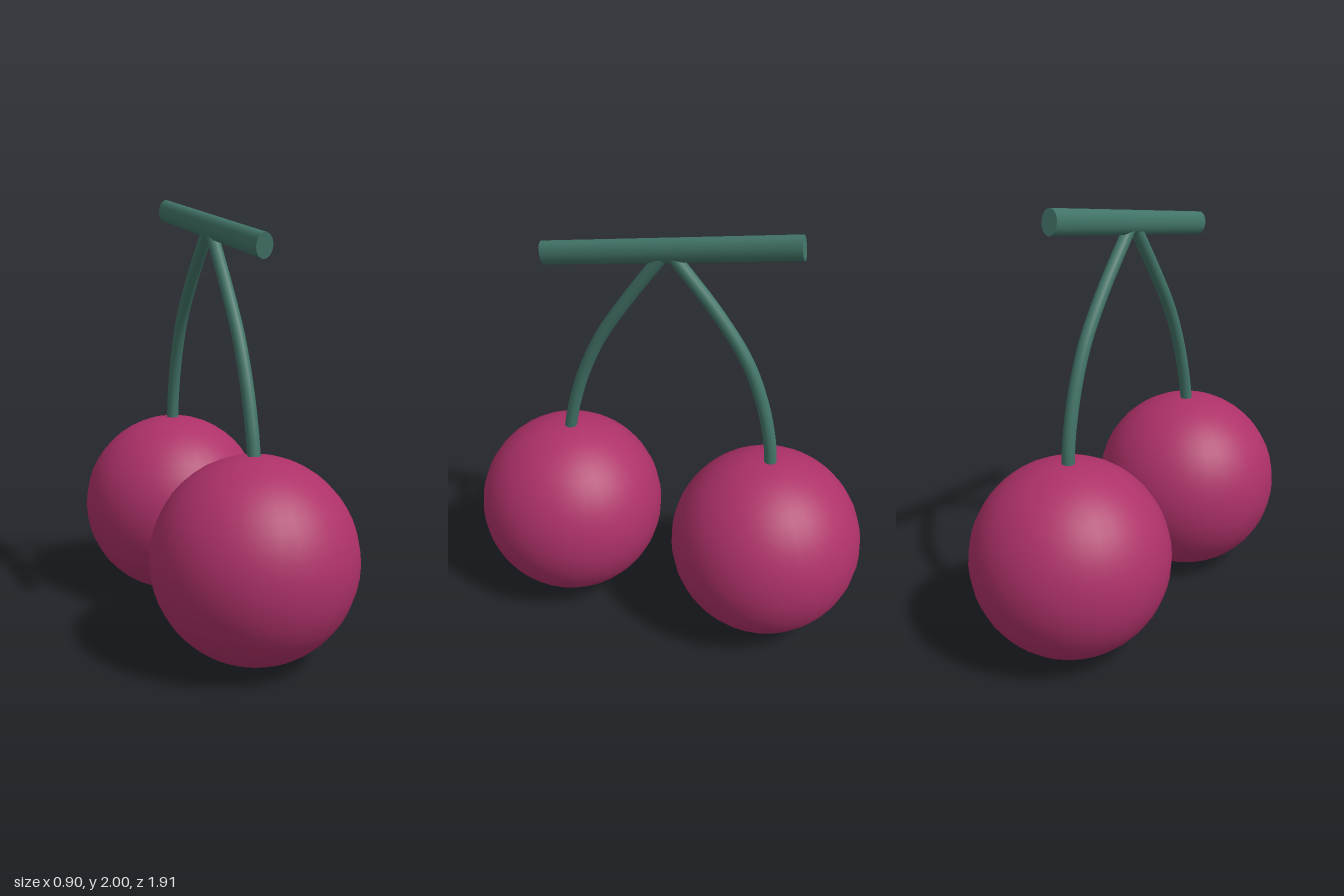
import * as THREE from 'three';

export function createModel() {
  const model = new THREE.Group();
  const fruitMat = new THREE.MeshStandardMaterial({ color: 0xad3168 });
  const stemMat = new THREE.MeshStandardMaterial({ color: 0x427468 });

  const add = (name, geometry, material) => {
    const mesh = new THREE.Mesh(geometry, material);
    mesh.name = name;
    model.add(mesh);
    return mesh;
  };

  // Two round fruits, one at the front and one at the back
  for (const [name, z] of [['frontCherry', 0.503], ['backCherry', -0.503]]) {
    add(name, new THREE.SphereGeometry(0.452, 32, 24), fruitMat).position.set(0, 0.455, z);
  }

  // Curved stems, given as [y, z] points from the fruit up to the twig
  const stems = {
    frontStem: [[0.84, 0.5], [1.0, 0.47], [1.2, 0.41], [1.4, 0.32], [1.6, 0.19], [1.84, 0.015]],
    backStem: [[0.84, -0.507], [1.0, -0.495], [1.2, -0.45], [1.4, -0.37], [1.6, -0.235], [1.84, -0.03]],
  };
  for (const [name, points] of Object.entries(stems)) {
    const curve = new THREE.CatmullRomCurve3(points.map(([y, z]) => new THREE.Vector3(0, y, z)));
    add(name, new THREE.TubeGeometry(curve, 32, 0.029, 16), stemMat);
  }

  // Tilted twig with an oval section, rising towards the back
  const start = new THREE.Vector3(0, 1.779, 0.573);
  const end = new THREE.Vector3(0, 1.947, -0.582);
  const twigGeometry = new THREE.CylinderGeometry(0.054, 0.054, start.distanceTo(end), 24);
  twigGeometry.scale(0.7, 1, 1);
  const twig = add('twig', twigGeometry, stemMat);
  twig.position.lerpVectors(start, end, 0.5);
  twig.rotation.x = Math.atan2(end.z - start.z, end.y - start.y);

  return model;
}
